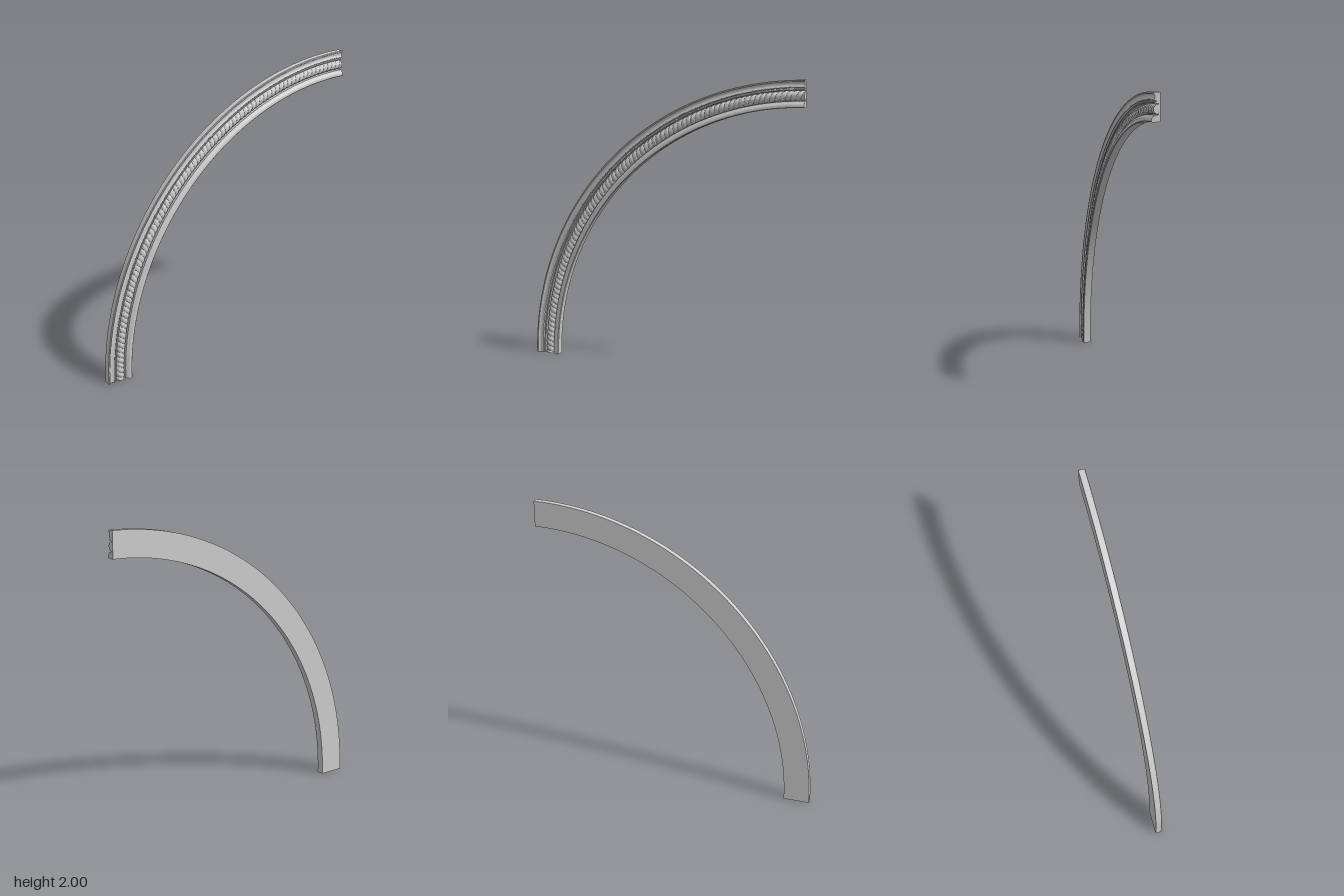
import * as THREE from 'three';
import { toCreasedNormals } from 'three/addons/utils/BufferGeometryUtils.js';

const INNER = 1.805, STILT = 0.015, CENTRE_X = 0.9925;

// Point on the quarter arch: t runs from the foot (0) to the crown (1),
// d is the distance out from the inner edge, z the depth.
function archPoint(t, d, z) {
  const k = 0.005; // short straight foot below the curve
  const a = Math.max(0, (t - k) / (1 - k)) * Math.PI / 2;
  const r = INNER + d;
  return [CENTRE_X - Math.cos(a) * r, Math.sin(a) * r + Math.min(t / k, 1) * STILT, z];
}

// Skin a list of rings; each ring holds points given as [x, y, z].
function skin(rings, closed, capFaces, crease) {
  const n = rings[0].length, index = [];
  for (let i = 0; i < rings.length - 1; i++) {
    for (let j = 0; j < (closed ? n : n - 1); j++) {
      const k = (j + 1) % n;
      const a = i * n + j, b = i * n + k, c = a + n, d = b + n;
      index.push(a, b, d, a, d, c);
    }
  }
  const last = (rings.length - 1) * n;
  for (const [a, b, c] of capFaces) {
    index.push(a, c, b, last + a, last + b, last + c);
  }
  const g = new THREE.BufferGeometry();
  g.setAttribute('position', new THREE.Float32BufferAttribute(rings.flat(2), 3));
  g.setIndex(index);
  return toCreasedNormals(g, crease);
}

function mouldingGeometry() {
  // Cross-section (d, z), anticlockwise from the inner back corner
  const profile = [
    [0, -0.028], [0.18, -0.028],
    // outer fillet
    [0.18, 0.014], [0.177, 0.017], [0.169, 0.017], [0.166, 0.011],
    // shallow cove
    [0.160, 0.007], [0.152, 0.006], [0.144, 0.008], [0.137, 0.013], [0.130, 0.013],
    // quirk and small bead beside the rope
    [0.128, -0.003], [0.123, -0.003], [0.121, 0.004], [0.117, 0.006], [0.113, 0.004],
    // rope channel
    [0.111, -0.016], [0.043, -0.016],
    // raised inner band
    [0.043, 0.010], [0.036, 0.013], [0.030, 0.018], [0.025, 0.025], [0.021, 0.027],
    [0.004, 0.027], [0, 0.023],
  ];
  const contour = profile.map(([d, z]) => new THREE.Vector2(d, z));
  const caps = THREE.ShapeUtils.triangulateShape(contour, []);
  const stations = [0, 0.005];
  for (let i = 1; i <= 96; i++) stations.push(0.005 + 0.995 * i / 96);
  const rings = stations.map(t => profile.map(([d, z]) => archPoint(t, d, z)));
  return skin(rings, true, caps, 0.6);
}

function ropeGeometry() {
  const strands = 82, perStrand = 10, around = 14;
  const steps = strands * perStrand;
  const ring = (t, size) => {
    const points = [];
    for (let j = 0; j <= around; j++) {
      const th = j / around * Math.PI;
      const twist = Math.abs(Math.sin(Math.PI * strands * t + th));
      const r = size * 0.033 * (0.76 + 0.24 * Math.sqrt(twist));
      points.push(archPoint(t, 0.077 + Math.cos(th) * r, -0.016 + Math.sin(th) * r));
    }
    return points;
  };
  const rings = [ring(0, 0)]; // zero-size rings close the two ends
  for (let i = 0; i <= steps; i++) rings.push(ring(i / steps, 1));
  rings.push(ring(1, 0));
  return skin(rings, false, [], 0.9);
}

export function createModel() {
  const group = new THREE.Group();
  group.name = 'archMoulding';
  const material = new THREE.MeshStandardMaterial({ color: 0xcccccc });
  const add = (name, geometry) => {
    const mesh = new THREE.Mesh(geometry, material);
    mesh.name = name;
    group.add(mesh);
  };
  add('mouldingBody', mouldingGeometry());
  add('twistedRope', ropeGeometry());
  return group;
}
